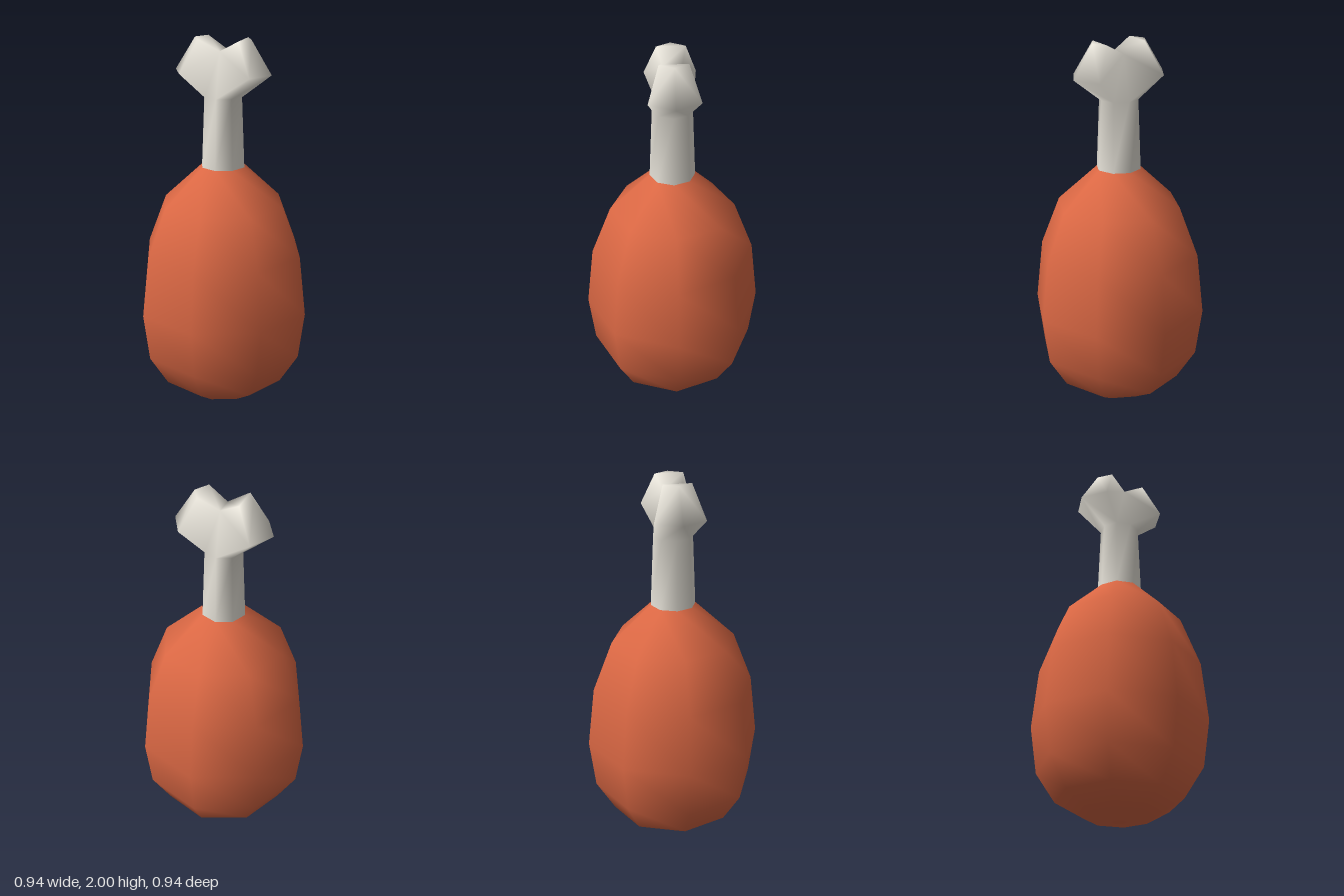
import * as THREE from 'three';
import { mergeGeometries, mergeVertices } from 'three/addons/utils/BufferGeometryUtils.js';

const NECK_Y = 1.7, NECK_R = 0.105, SIDES = 8;

// One knuckle on the +x side, growing out of half the shaft's top ring
function knuckleGeometry() {
  const neck = [];
  for (let i = 0; i <= 4; i++) {
    const a = (i / 4) * Math.PI;
    neck.push([NECK_R * Math.sin(a), NECK_Y, NECK_R * Math.cos(a)]);
  }
  const points = [
    ...neck,                                                   // 0-4 shaft ring
    [0.19, 1.825, 0.135], [0.265, 1.825, 0], [0.19, 1.825, -0.135], // 5-7 widest ring
    [0.11, 2, 0.075], [0.155, 2, 0], [0.11, 2, -0.075],        // 8-10 top facet
    [0, 1.94, 0.05], [0, 1.94, -0.05],                         // 11-12 valley
  ];
  const faces = [
    [0, 1, 5], [0, 5, 11], [11, 5, 8],             // front
    [1, 2, 6], [1, 6, 5], [2, 3, 6], [3, 7, 6],    // underside
    [5, 6, 9], [5, 9, 8], [6, 7, 9], [7, 10, 9],   // outer bevel
    [3, 4, 12], [3, 12, 7], [7, 12, 10],           // back
    [8, 9, 10], [8, 10, 12], [8, 12, 11],          // top and valley slope
  ];
  const geo = new THREE.BufferGeometry();
  geo.setAttribute('position', new THREE.Float32BufferAttribute(points.flat(), 3));
  geo.setIndex(faces.flat());
  return geo;
}

// Shaft and both knuckles welded into one smooth-shaded bone
function boneGeometry() {
  const bottom = 1.32, height = NECK_Y - bottom;
  const shaft = new THREE.CylinderGeometry(NECK_R, 0.12, height, SIDES, 1, true);
  shaft.translate(0, bottom + height / 2, 0);
  shaft.deleteAttribute('normal');
  shaft.deleteAttribute('uv');
  const knuckle = knuckleGeometry();
  const geo = mergeVertices(mergeGeometries([shaft, knuckle, knuckle.clone().rotateY(Math.PI)]), 1e-3);
  geo.computeVertexNormals();
  return geo;
}

export function createModel() {
  const group = new THREE.Group();
  group.name = 'drumstick';

  // Plump eight-sided meat
  const profile = [
    [0, 0.005], [0.18, 0.035], [0.333, 0.125], [0.435, 0.285], [0.47, 0.54],
    [0.435, 0.86], [0.333, 1.125], [0.12, 1.325],
  ].map(([r, y]) => new THREE.Vector2(r, y));
  const meat = new THREE.Mesh(
    new THREE.LatheGeometry(profile, SIDES),
    new THREE.MeshStandardMaterial({ color: 0xdb6844 }),
  );
  meat.name = 'meat';

  const bone = new THREE.Mesh(boneGeometry(), new THREE.MeshStandardMaterial({ color: 0xe8e4da }));
  bone.name = 'bone';

  group.add(meat, bone);
  return group;
}
